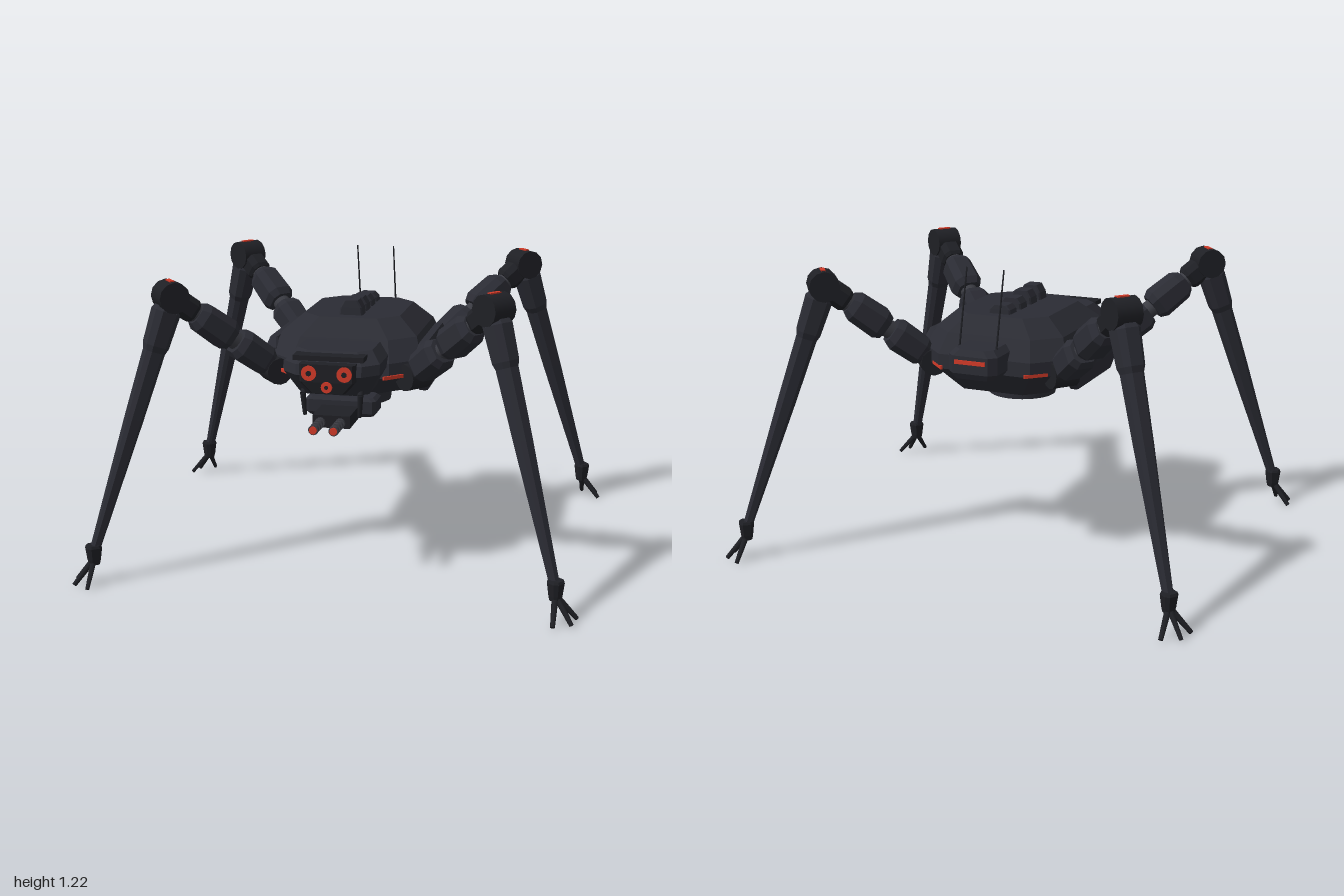
import * as THREE from 'three';

const mat = (name, color) => {
  const m = new THREE.MeshStandardMaterial({ color });
  m.name = name;
  return m;
};

// Stack of chamfered rectangles [y, halfWidth, zBack, zFront, chamfer], flat shaded
function loft(sections) {
  const rings = sections.map(([y, w, a, b, c]) => [
    [w, a + c], [w, b - c], [w - c, b], [c - w, b], [-w, b - c], [-w, a + c], [c - w, a], [w - c, a],
  ].map(([x, z]) => new THREE.Vector3(x, y, z)));
  const tris = [];
  for (let k = 0; k < rings.length - 1; k++) {
    for (let i = 0; i < 8; i++) {
      const j = (i + 1) % 8, lo = rings[k], hi = rings[k + 1];
      tris.push(lo[i], hi[i], lo[j], lo[j], hi[i], hi[j]);
    }
  }
  const bottom = rings[0], top = rings[rings.length - 1];
  for (let i = 1; i < 7; i++) {
    tris.push(bottom[0], bottom[i], bottom[i + 1]);
    tris.push(top[0], top[i + 1], top[i]);
  }
  const g = new THREE.BufferGeometry().setFromPoints(tris);
  g.computeVertexNormals();
  return g;
}

// Centred square version: [y, halfSize] with proportional chamfers
const bar = (list) => loft(list.map(([y, h]) => [y, h, -h, h, h * 0.45]));

function add(parent, name, geometry, material, x = 0, y = 0, z = 0) {
  const m = new THREE.Mesh(geometry, material);
  m.name = name;
  m.position.set(x, y, z);
  parent.add(m);
  return m;
}

const box = (w, h, d) => new THREE.BoxGeometry(w, h, d);

// Round rod between two points
function rod(parent, name, p, q, r0, r1, material, sides = 10) {
  const a = new THREE.Vector3(...p), b = new THREE.Vector3(...q);
  const d = b.clone().sub(a);
  const m = add(parent, name, new THREE.CylinderGeometry(r1, r0, d.length(), sides), material);
  m.position.copy(a).add(b).multiplyScalar(0.5);
  m.quaternion.setFromUnitVectors(new THREE.Vector3(0, 1, 0), d.normalize());
  return m;
}

export function createModel() {
  const root = new THREE.Group();
  root.name = 'walker';
  const armour = mat('dark armour', 0x2b2c34);
  const joint = mat('black joint', 0x1f2025);
  const metal = mat('gun metal', 0x3b3c43);
  const red = mat('red light', 0xd23a28);

  // Hull
  add(root, 'hull', loft([
    [0.70, 0.21, -0.30, 0.20, 0.08],
    [0.80, 0.31, -0.39, 0.36, 0.11],
    [0.86, 0.31, -0.39, 0.35, 0.11],
    [0.94, 0.28, -0.34, 0.28, 0.10],
    [1.01, 0.20, -0.28, 0.20, 0.08],
  ]), armour);

  // Side plates, light strips and corner lights
  for (const s of [-1, 1]) {
    add(root, 'sidePlate', loft([
      [0.72, 0.018, -0.20, 0.19, 0.008],
      [0.79, 0.03, -0.25, 0.24, 0.012],
      [0.88, 0.03, -0.25, 0.24, 0.012],
      [0.92, 0.015, -0.22, 0.21, 0.006],
    ]), armour, s * 0.31);
    add(root, 'frontSideLight', box(0.008, 0.016, 0.075), red, s * 0.341, 0.86, 0.125);
    add(root, 'rearSideLight', box(0.008, 0.016, 0.12), red, s * 0.341, 0.86, -0.14);
    add(root, 'frontCornerLight', box(0.10, 0.014, 0.009), red, s * 0.218, 0.807, 0.346).rotation.y = s * Math.PI / 4;
    add(root, 'rearCornerLight', box(0.10, 0.014, 0.009), red, s * 0.216, 0.807, -0.368).rotation.y = -s * Math.PI / 4;
  }

  // Row of vents on the back
  [[0.11, 0.06], [0.01, 0.055], [-0.095, 0.045], [-0.20, 0.035]].forEach(([z, h]) => {
    add(root, 'topVent', loft([
      [-0.01, 0.05, -0.036, 0.036, 0.006],
      [h * 0.5, 0.045, -0.036, 0.036, 0.006],
      [h, 0.028, -0.035, 0.035, 0.006],
    ]), armour, 0, 1.01, z);
  });

  // Head
  add(root, 'head', loft([
    [0.76, 0.14, 0.25, 0.49, 0.04],
    [0.85, 0.19, 0.25, 0.56, 0.06],
    [0.89, 0.19, 0.25, 0.55, 0.06],
    [0.935, 0.15, 0.22, 0.49, 0.05],
  ]), armour);
  add(root, 'facePlate', loft([
    [0.785, 0.07, 0.50, 0.575, 0.01],
    [0.83, 0.11, 0.50, 0.585, 0.01],
    [0.90, 0.11, 0.50, 0.585, 0.01],
  ]), joint);
  add(root, 'brow', box(0.28, 0.02, 0.07), joint, 0, 0.918, 0.525);
  for (const [x, y, r] of [[-0.07, 0.865, 0.03], [0.07, 0.865, 0.03], [0, 0.812, 0.022]]) {
    const eye = new THREE.Group();
    eye.name = 'eye';
    eye.position.set(x, y, 0.58);
    root.add(eye);
    rod(eye, 'eyeLens', [0, 0, -0.02], [0, 0, 0.01], r, r, red, 20);
    rod(eye, 'pupil', [0, 0, 0.006], [0, 0, 0.013], r * 0.35, r * 0.35, joint, 16);
  }
  for (const s of [-1, 1]) {
    rod(root, 'mandible', [s * 0.11, 0.79, 0.47], [s * 0.115, 0.76, 0.502], 0.014, 0.012, joint);
    rod(root, 'mandible', [s * 0.115, 0.765, 0.50], [s * 0.11, 0.675, 0.49], 0.012, 0.008, joint);
  }

  // Chin gun
  add(root, 'gunMount', loft([
    [0.635, 0.13, 0.22, 0.34, 0.015],
    [0.65, 0.145, 0.22, 0.35, 0.015],
    [0.70, 0.145, 0.22, 0.35, 0.015],
    [0.712, 0.13, 0.23, 0.34, 0.015],
  ]), armour);
  add(root, 'gunNeck', box(0.08, 0.1, 0.06), joint, 0, 0.74, 0.28);
  add(root, 'gunBody', box(0.15, 0.05, 0.18), joint, 0, 0.655, 0.42);
  for (const s of [-1, 1]) {
    rod(root, 'gunBarrel', [s * 0.04, 0.655, 0.48], [s * 0.04, 0.655, 0.645], 0.014, 0.014, metal, 14);
    for (const z of [0.53, 0.565, 0.60, 0.635]) {
      rod(root, 'barrelRing', [s * 0.04, 0.655, z - 0.008], [s * 0.04, 0.655, z + 0.008], 0.02, 0.02, metal, 14);
    }
    rod(root, 'muzzleLight', [s * 0.04, 0.655, 0.642], [s * 0.04, 0.655, 0.65], 0.015, 0.015, red, 14);
  }

  // Belly turret
  add(root, 'bellyTurret', new THREE.CylinderGeometry(0.145, 0.14, 0.075, 32), armour, 0, 0.667, 0);
  add(root, 'bellyLight', new THREE.CylinderGeometry(0.08, 0.08, 0.02, 32), red, 0, 0.626, 0);

  // Rear pack and aerials
  add(root, 'rearPack', loft([
    [0.80, 0.085, -0.50, -0.33, 0.02],
    [0.825, 0.105, -0.515, -0.33, 0.03],
    [0.895, 0.105, -0.515, -0.33, 0.03],
    [0.92, 0.08, -0.50, -0.30, 0.03],
  ]), armour);
  add(root, 'rearLight', box(0.13, 0.016, 0.009), red, 0, 0.872, -0.517);
  for (const s of [-1, 1]) {
    rod(root, 'aerial', [s * 0.08, 0.90, -0.445], [s * 0.08, 1.22, -0.367], 0.004, 0.003, joint, 6);
  }

  // Legs: each is built in its own plane, pointing along local x
  const hip = [0, 0.80], knee = [0.446, 1.135], ankle = [0.798, 0.13];
  const thighTilt = -Math.atan2(knee[0] - hip[0], knee[1] - hip[1]);
  const shinTilt = -Math.atan2(ankle[0] - knee[0], ankle[1] - knee[1]);
  for (const sx of [-1, 1]) for (const sz of [-1, 1]) {
    const leg = new THREE.Group();
    leg.name = (sz > 0 ? 'front' : 'rear') + (sx > 0 ? 'Left' : 'Right') + 'Leg';
    leg.position.set(sx * 0.28, 0, sz * 0.27);
    leg.rotation.y = -Math.atan2(sz * 0.61, sx * 0.79);
    root.add(leg);

    rod(leg, 'hipJoint', [0.01, 0.80, -0.055], [0.01, 0.80, 0.055], 0.055, 0.055, joint, 12);
    const thigh = new THREE.Group();
    thigh.name = 'thigh';
    thigh.position.set(hip[0], hip[1], 0);
    thigh.rotation.z = thighTilt;
    leg.add(thigh);
    rod(thigh, 'thighCore', [0, 0, 0], [0, 0.55, 0], 0.038, 0.038, metal, 14);
    add(thigh, 'innerThighArmour', bar([[0.045, 0.042], [0.075, 0.06], [0.19, 0.064], [0.22, 0.05]]), armour);
    add(thigh, 'outerThighArmour', bar([[0.25, 0.05], [0.28, 0.064], [0.40, 0.06], [0.43, 0.042]]), armour);
    add(thigh, 'thighCollar', bar([[0.44, 0.04], [0.455, 0.048], [0.51, 0.048]]), joint);

    rod(leg, 'kneeJoint', [knee[0], knee[1], -0.055], [knee[0], knee[1], 0.055], 0.062, 0.062, joint, 12);
    add(leg, 'kneeLight', box(0.018, 0.022, 0.055), red, knee[0], 1.189, 0);

    const shin = new THREE.Group();
    shin.name = 'shin';
    shin.position.set(knee[0], knee[1], 0);
    shin.rotation.z = shinTilt;
    leg.add(shin);
    add(shin, 'shinArmour', bar([[0.035, 0.04], [0.06, 0.052], [0.20, 0.047], [0.23, 0.038]]), armour);
    add(shin, 'shinBone', bar([[0.15, 0.041], [0.5, 0.034], [1.04, 0.018]]), armour);

    // Ankle and three splayed toes
    add(leg, 'ankle', bar([[0.085, 0.02], [0.105, 0.024], [0.155, 0.03], [0.165, 0.026]]), joint, ankle[0]);
    for (const a of [-0.92, 0, 0.92]) {
      const c = Math.cos(a), s = Math.sin(a);
      rod(leg, 'toe', [ankle[0] + 0.005 * c, 0.10, 0.005 * s], [ankle[0] + 0.085 * c, 0.009, 0.085 * s], 0.013, 0.009, joint, 6);
    }
  }
  return root;
}
